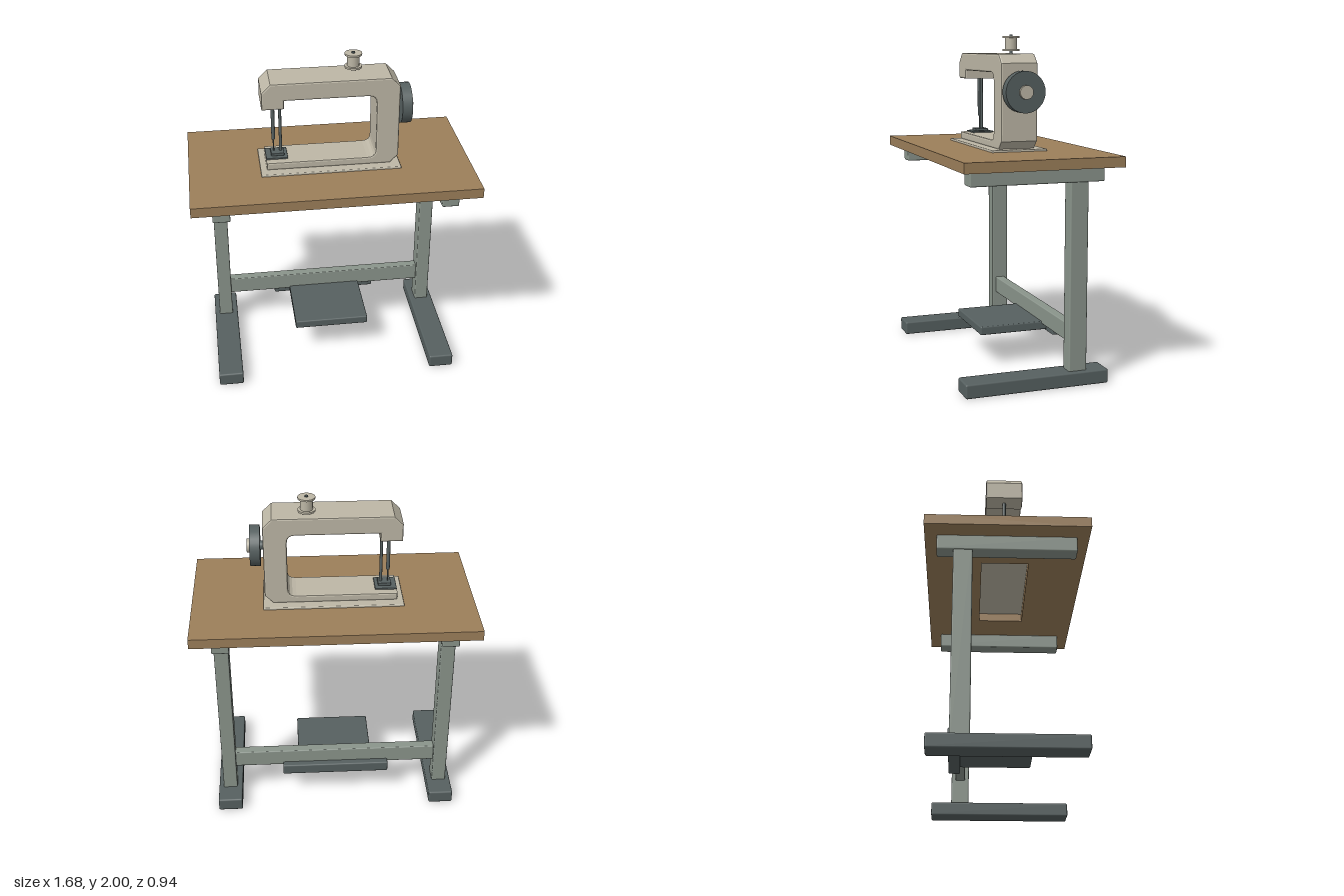
import * as THREE from 'three';
import { RoundedBoxGeometry } from 'three/addons/geometries/RoundedBoxGeometry.js';

const material = (color) => new THREE.MeshStandardMaterial({ color });

export function createModel() {
  const model = new THREE.Group();
  model.name = 'sewingTable';
  const wood = material(0x9c7f5a), cream = material(0xbdb7a6);
  const frame = material(0x8a948b), dark = material(0x566060);

  const add = (name, geometry, mat, parent = model) => {
    const mesh = new THREE.Mesh(geometry, mat);
    mesh.name = name;
    parent.add(mesh);
    return mesh;
  };
  // Softened box given by its limits on each axis
  const block = (name, mat, [x0, x1], [y0, y1], [z0, z1], bevel = 0.008, parent = model) => {
    const mesh = add(name, new RoundedBoxGeometry(x1 - x0, y1 - y0, z1 - z0, 2, bevel), mat, parent);
    mesh.position.set((x0 + x1) / 2, (y0 + y1) / 2, (z0 + z1) / 2);
    return mesh;
  };
  const rod = (name, mat, r, y0, y1, x, z, parent = model) => {
    const mesh = add(name, new THREE.CylinderGeometry(r, r, y1 - y0, 12), mat, parent);
    mesh.position.set(x, (y0 + y1) / 2, z);
  };
  const polygon = (points, Type = THREE.Shape) => new Type(points.map(([x, y]) => new THREE.Vector2(x, y)));

  // Table top with an opening under the machine
  const top = polygon([[-0.84, -0.47], [0.84, -0.47], [0.84, 0.47], [-0.84, 0.47]]);
  top.holes.push(polygon([[-0.395, -0.14], [-0.395, 0.14], [0.395, 0.14], [0.395, -0.14]], THREE.Path));
  const topGeometry = new THREE.ExtrudeGeometry(top, { depth: 0.06, bevelEnabled: false });
  topGeometry.rotateX(-Math.PI / 2).translate(0, 1.27, 0);
  add('tableTop', topGeometry, wood);

  // Two mirrored leg frames
  for (const [side, s] of [['left', 1], ['right', -1]]) {
    const leg = new THREE.Group();
    leg.name = side + 'LegFrame';
    model.add(leg);
    const span = (a, b) => (s > 0 ? [a, b] : [-b, -a]);
    block('foot', dark, span(0.595, 0.745), [0, 0.083], [-0.43, 0.435], 0.01, leg);
    block('post', frame, span(0.628, 0.715), [0.07, 1.2], [-0.305, -0.195], 0.008, leg);
    block('topBearer', frame, span(0.618, 0.72), [1.18, 1.272], [-0.4, 0.4], 0.008, leg);
  }

  // Stretcher and treadle
  block('stretcher', frame, [-0.64, 0.64], [0.235, 0.342], [-0.28, -0.22], 0.006);
  block('treadleBar', dark, [-0.335, 0.33], [0.187, 0.255], [-0.32, -0.25]);
  block('treadlePlate', dark, [-0.235, 0.23], [0.198, 0.25], [-0.26, 0.177]);

  // Machine head
  const machine = new THREE.Group();
  machine.name = 'machineHead';
  model.add(machine);
  block('basePlate', cream, [-0.417, 0.415], [1.322, 1.342], [-0.172, 0.168], 0.006, machine);

  // C-shaped body: bed, pillar, arm and nose; the bevel grows the outline by b
  const b = 0.01;
  const body = new THREE.Shape();
  body.moveTo(-0.37, 1.35);
  body.lineTo(0.352, 1.35);
  body.lineTo(0.395, 1.393);
  body.lineTo(0.395, 1.833);
  body.lineTo(0.348, 1.88);
  body.lineTo(-0.343, 1.88);
  body.lineTo(-0.39, 1.833);
  body.lineTo(-0.39, 1.74);
  body.lineTo(-0.28, 1.74);
  body.lineTo(-0.28, 1.792);
  body.lineTo(0.22, 1.792);
  body.quadraticCurveTo(0.278, 1.79, 0.278, 1.732);
  body.lineTo(0.278, 1.435);
  body.quadraticCurveTo(0.278, 1.377, 0.22, 1.377);
  body.lineTo(-0.37, 1.377);
  body.closePath();
  const bodyGeometry = new THREE.ExtrudeGeometry(body, {
    depth: 0.225 - 2 * b, bevelSize: b, bevelThickness: b, bevelSegments: 2, curveSegments: 4,
  });
  add('body', bodyGeometry.translate(0, 0, -0.115 + b), cream, machine);

  // Needle, presser foot and needle plate
  const z = -0.003;
  rod('needleBar', dark, 0.011, 1.49, 1.76, -0.33, z, machine);
  rod('needle', dark, 0.004, 1.39, 1.5, -0.33, z, machine);
  rod('presserBar', dark, 0.009, 1.4, 1.8, -0.288, z, machine);
  block('presserFoot', dark, [-0.348, -0.27], [1.396, 1.413], [-0.04, 0.04], 0.003, machine);
  block('needlePlate', dark, [-0.38, -0.25], [1.383, 1.396], [-0.07, 0.065], 0.003, machine);

  // Handwheel turned around the x axis
  const turned = (name, mat, r, x0, x1) => {
    const mesh = add(name, new THREE.CylinderGeometry(r, r, x1 - x0, 32), mat, machine);
    mesh.rotation.z = -Math.PI / 2;
    mesh.position.set((x0 + x1) / 2, 1.675, -0.012);
  };
  turned('handwheelShaft', dark, 0.026, 0.4, 0.43);
  turned('handwheel', dark, 0.12, 0.422, 0.482);
  turned('handwheelHub', cream, 0.04, 0.475, 0.5);

  // Thread spool on its pin
  rod('spoolPin', dark, 0.01, 1.88, 2, 0.15, -0.043, machine);
  const spool = new THREE.Group();
  spool.name = 'spool';
  machine.add(spool);
  rod('spoolCore', cream, 0.036, 1.91, 1.987, 0.15, -0.043, spool);
  for (const y of [1.905, 1.982]) {
    const flange = add('spoolFlange', new THREE.CylinderGeometry(0.051, 0.051, 0.011, 24), cream, spool);
    flange.position.set(0.15, y + 0.0055, -0.043);
  }
  return model;
}
